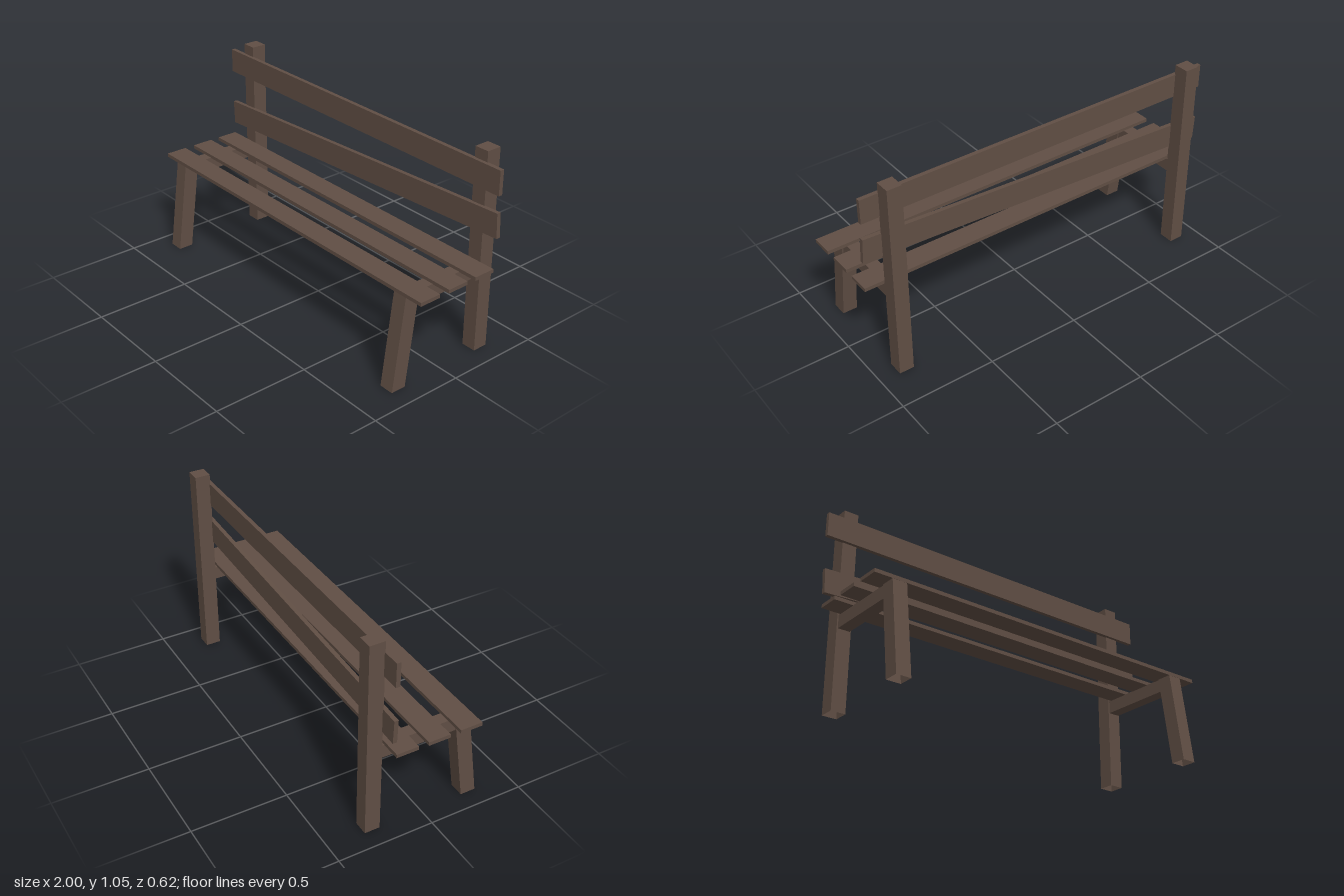
import * as THREE from 'three';

const wood = new THREE.MeshStandardMaterial({ color: 0x604e44, side: THREE.DoubleSide });
wood.name = 'brown wood';

// Box given by its extents on each axis
function board(name, [x0, x1], [y0, y1], [z0, z1]) {
  const mesh = new THREE.Mesh(new THREE.BoxGeometry(x1 - x0, y1 - y0, z1 - z0), wood);
  mesh.position.set((x0 + x1) / 2, (y0 + y1) / 2, (z0 + z1) / 2);
  mesh.name = name;
  return mesh;
}

// Leg standing on the ground, open underneath, leaning by `lean` in z at its top
function leg(name, x, z, height, lean = 0) {
  const geo = new THREE.BoxGeometry(0.077, height, 0.08).translate(0, height / 2, 0);
  geo.applyMatrix4(new THREE.Matrix4().set(
    1, 0, 0, 0,
    0, 1, 0, 0,
    0, lean / height, 1, 0,
    0, 0, 0, 1));
  const index = Array.from(geo.index.array);
  index.splice(18, 6); // drop the bottom face
  geo.setIndex(index);
  geo.clearGroups();
  geo.computeVertexNormals();
  const mesh = new THREE.Mesh(geo, wood);
  mesh.position.set(x, 0, z);
  mesh.name = name;
  return mesh;
}

export function createModel() {
  const bench = new THREE.Group();
  bench.name = 'bench';

  // End frames: rear post, slanted front leg and seat rail
  for (const [side, x] of [['right', -0.867], ['left', 0.859]]) {
    bench.add(
      leg(side + 'BackPost', x, -0.268, 1.053),
      leg(side + 'FrontLeg', x, 0.268, 0.484, -0.066),
      board(side + 'SeatRail', [x - 0.032, x + 0.032], [0.415, 0.485], [-0.229, 0.2]));
  }

  // Seat planks
  [-0.155, 0.013, 0.185].forEach((z, i) => {
    bench.add(board('seatPlank' + (i + 1), [-1, 0.993], [0.483, 0.502], [z - 0.058, z + 0.058]));
  });

  // Backrest: one level board and one hanging crooked
  bench.add(board('upperBackBoard', [-1, 0.993], [0.873, 0.999], [-0.232, -0.21]));
  const crooked = board('crookedBackBoard', [-0.997, 0.997], [0.614, 0.74], [-0.232, -0.21]);
  crooked.rotation.z = 0.0475;
  bench.add(crooked);

  return bench;
}
